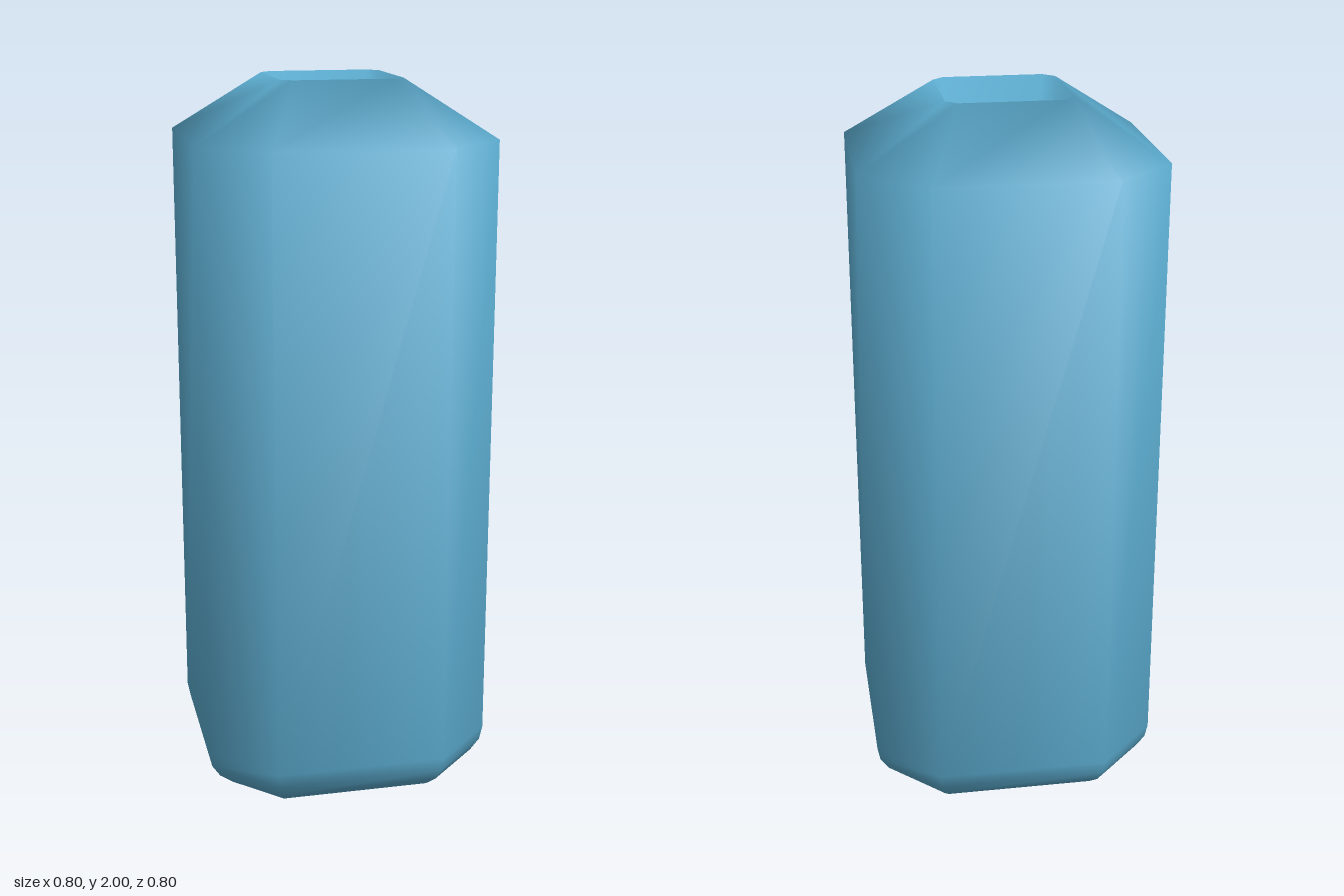
import * as THREE from 'three';

// Chamfered-square ring: half-width r, chamfer starting at c on each side
function ring(r, c, y) {
  const pts = [];
  for (let k = 0; k < 4; k++) {
    for (const [x, z] of [[c, r], [r, c]]) {
      const p = new THREE.Vector3(x, y, z);
      for (let t = 0; t < k; t++) p.set(p.z, y, -p.x);
      pts.push(p);
    }
  }
  return pts;
}

// Quarter-ellipse rounding between a wide ring and a flat base
function rounded(outer, inner, y, height, steps) {
  return Array.from({ length: steps + 1 }, (_, i) => {
    const a = (i / steps) * Math.PI / 2;
    const t = Math.cos(a);
    return ring(
      THREE.MathUtils.lerp(inner[0], outer[0], t),
      THREE.MathUtils.lerp(inner[1], outer[1], t),
      y - height * Math.sin(a));
  });
}

// Skin the rings, cap both ends, and blend the face normals equally
function skin(rings) {
  const n = 8;
  const verts = rings.flat();
  const normals = verts.map(() => new THREE.Vector3());
  const index = [];
  const face = (...ids) => {
    const [a, b, c] = ids.map((i) => verts[i]);
    const normal = b.clone().sub(a).cross(c.clone().sub(a)).normalize();
    ids.forEach((i) => normals[i].add(normal));
    for (let i = 1; i < ids.length - 1; i++) index.push(ids[0], ids[i], ids[i + 1]);
  };
  for (let j = 0; j < rings.length - 1; j++) {
    for (let i = 0; i < n; i++) {
      const k = (i + 1) % n;
      face(j * n + i, j * n + k, (j + 1) * n + k, (j + 1) * n + i);
    }
  }
  const order = [...Array(n).keys()];
  const last = (rings.length - 1) * n;
  face(...order.slice().reverse());
  face(...order.map((i) => last + i));

  const geometry = new THREE.BufferGeometry().setFromPoints(verts);
  geometry.setAttribute('normal', new THREE.Float32BufferAttribute(
    normals.flatMap((v) => v.normalize().toArray()), 3));
  geometry.setIndex(index);
  return geometry;
}

export function createModel() {
  const group = new THREE.Group();
  group.name = 'vessel';

  const rings = [
    // rounded foot, from the flat base up to the walls
    ...rounded([0.4, 0.235], [0.165, 0.135], 0.155, 0.155, 6).reverse(),
    // shoulder edge and rim of the opening
    ring(0.4, 0.235, 1.845),
    ring(0.165, 0.135, 2),
    // well with a rounded floor
    ...rounded([0.165, 0.135], [0.1, 0.08], 0.7, 0.07, 3),
  ];

  const body = new THREE.Mesh(
    skin(rings),
    new THREE.MeshStandardMaterial({ color: 0x5aa9cc }));
  body.name = 'body';
  group.add(body);
  return group;
}
